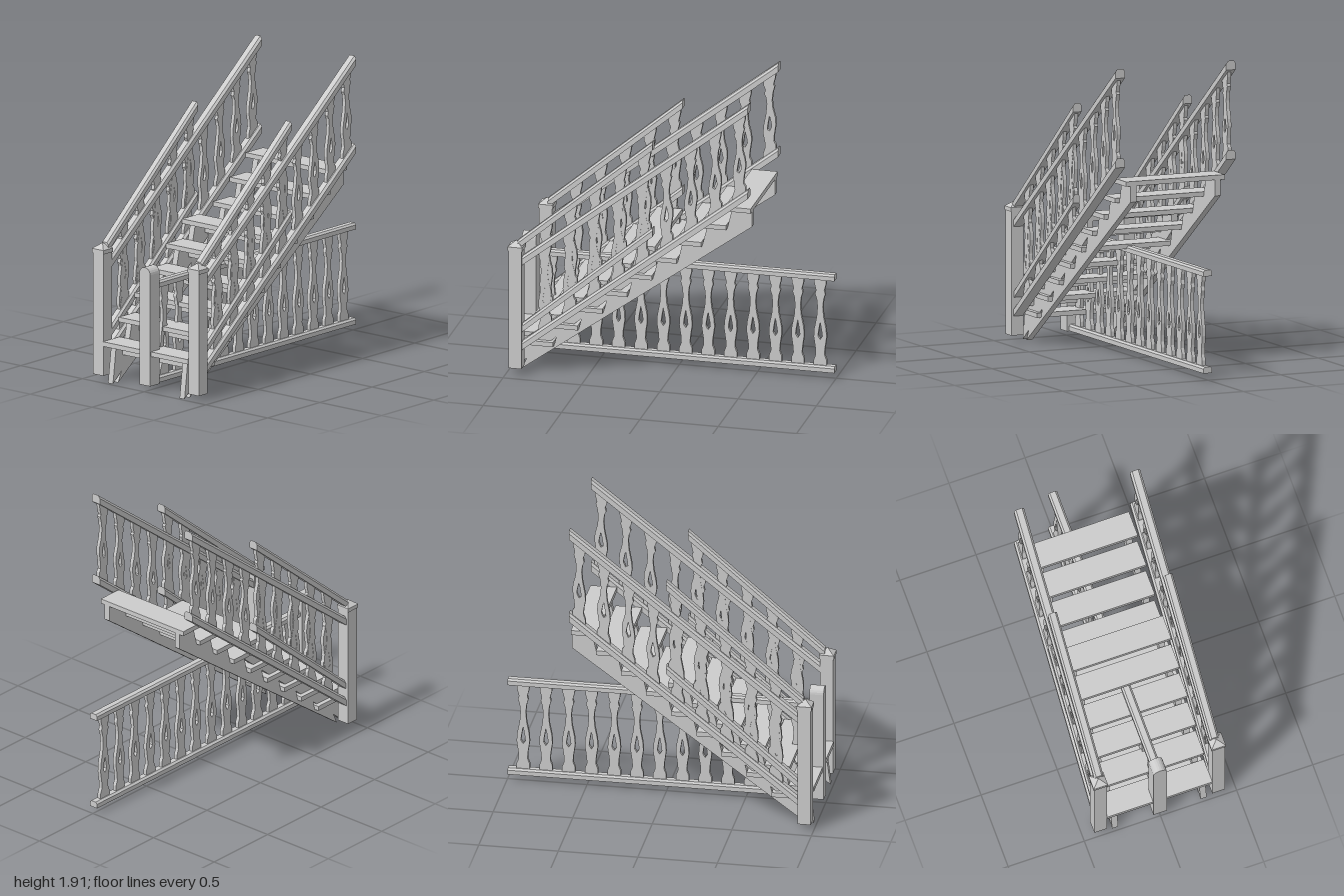
import * as THREE from 'three';

const material = new THREE.MeshStandardMaterial({ color: 0xcccccc, flatShading: true });

function add(parent, name, geometry) {
  const mesh = new THREE.Mesh(geometry, material);
  mesh.name = name;
  parent.add(mesh);
  return mesh;
}

// Slide vertices up in proportion to x, keeping vertical ends vertical
function shear(geometry, slope, x0) {
  const p = geometry.attributes.position;
  for (let i = 0; i < p.count; i++) p.setY(i, p.getY(i) + slope * (p.getX(i) - x0));
  geometry.computeVertexNormals();
  return geometry;
}

// Rail with bevelled top, running x0..x1; top is the height of its upper edge at x1
function rail(parent, name, x0, x1, top, slope, z, width, height) {
  const w = width / 2;
  const section = new THREE.Shape([
    [-w, -height], [w, -height], [w, -height * 0.3], [w * 0.6, 0], [-w * 0.6, 0], [-w, -height * 0.3],
  ].map(([a, b]) => new THREE.Vector2(a, b)));
  const g = new THREE.ExtrudeGeometry(section, { depth: x1 - x0, bevelEnabled: false });
  g.rotateY(Math.PI / 2).translate(x0, top, z);
  add(parent, name, shear(g, slope, x1));
}

// Cut-out board: [height fraction, half width]
const OUTLINE = [
  [0, 0.041], [0.07, 0.041], [0.13, 0.028], [0.2, 0.03], [0.33, 0.041], [0.42, 0.038],
  [0.56, 0.022], [0.67, 0.017], [0.76, 0.022], [0.82, 0.033], [0.86, 0.026], [0.93, 0.037], [1, 0.04],
];

function baluster(parent, x, y, z, height, slope) {
  const right = OUTLINE.map(([t, w]) => new THREE.Vector2(w, t * height));
  const left = OUTLINE.map(([t, w]) => new THREE.Vector2(-w, t * height)).reverse();
  const shape = new THREE.Shape([...right, ...left]);
  const hole = [[0, 0.3], [-0.014, 0.34], [-0.011, 0.39], [0, 0.5], [0.011, 0.39], [0.014, 0.34]];
  shape.holes.push(new THREE.Path(hole.map(([a, t]) => new THREE.Vector2(a, t * height))));
  const g = new THREE.ExtrudeGeometry(shape, { depth: 0.024, bevelEnabled: false });
  g.translate(x, y, z - 0.012);
  add(parent, 'baluster', shear(g, slope, x));
}

// Balustrade: two parallel rails with evenly spaced balusters
function balustrade(name, o) {
  const group = new THREE.Group();
  group.name = name;
  rail(group, 'handrail', o.x0, o.x1, o.top, o.slope, o.z, o.width, o.height);
  rail(group, 'bottomRail', o.x0, o.x1, o.bottom, o.slope, o.z, o.width, o.height);
  for (let i = 0; i < o.count; i++) {
    const x = o.first - i * o.step;
    const y = o.bottom + o.slope * (x - o.x1) - 0.008;
    baluster(group, x, y, o.z, o.top - o.height - o.bottom + 0.016, o.slope);
  }
  return group;
}

// Flight of open treads carried by two sawtooth stringers
function flight(name, { x0, y0, run, rise, count, halfWidth, foot, headDrop }) {
  const group = new THREE.Group();
  group.name = name;
  const end = x0 + run * count;
  const thick = 0.03;
  const pts = [[foot[0], foot[1]], [end, y0 + rise * (count - 1) - headDrop]];
  for (let i = count - 1; i >= 0; i--) {
    const y = y0 + rise * i - thick;
    pts.push([x0 + run * (i + 1), y], [x0 + run * i + 0.03, y]);
  }
  const shape = new THREE.Shape(pts.map(([a, b]) => new THREE.Vector2(a, b)));
  for (const z of [-0.29, 0.29]) {
    const g = new THREE.ExtrudeGeometry(shape, { depth: 0.04, bevelEnabled: false });
    add(group, 'stringer', g.translate(0, 0, z - 0.02));
  }
  for (let i = 0; i < count; i++) {
    const tread = add(group, 'tread', new THREE.BoxGeometry(run + 0.008, thick, halfWidth * 2));
    tread.position.set(x0 + run * (i + 0.5) - 0.004, y0 + rise * i - thick / 2, 0);
  }
  return group;
}

export function createModel() {
  const model = new THREE.Group();
  model.name = 'staircase';

  // Long flight and the shorter, steeper flight laid over its lower half
  model.add(flight('longFlight', {
    x0: -0.88, y0: 0.2, run: 0.1578, rise: 0.125, count: 9, halfWidth: 0.34, foot: [-0.93, 0], headDrop: 0.13,
  }));
  model.add(flight('shortFlight', {
    x0: -0.98, y0: 0.26, run: 0.1517, rise: 0.127, count: 6, halfWidth: 0.345, foot: [-0.98, 0.0], headDrop: 0.13,
  }));

  // Sloping balustrades on both sides
  for (const s of [-1, 1]) {
    model.add(balustrade('longBalustrade', {
      x0: -0.92, x1: 0.54, top: 1.91, bottom: 1.35, slope: 0.785, z: s * 0.381,
      width: 0.066, height: 0.058, first: 0.48, step: 0.155, count: 9,
    }));
    model.add(balustrade('shortBalustrade', {
      x0: -0.93, x1: -0.07, top: 1.61, bottom: 1.04, slope: 0.85, z: s * 0.379,
      width: 0.06, height: 0.055, first: -0.125, step: 0.157, count: 5,
    }));

    // Square newel post with a flared, pointed cap
    const post = new THREE.Group();
    post.name = 'newelPost';
    add(post, 'shaft', new THREE.BoxGeometry(0.082, 0.78, 0.082)).position.y = 0.43;
    add(post, 'cap', new THREE.BoxGeometry(0.094, 0.025, 0.094)).position.y = 0.83;
    const tip = add(post, 'capPoint', new THREE.ConeGeometry(0.066, 0.035, 4));
    tip.rotation.y = Math.PI / 4;
    tip.position.y = 0.86;
    post.position.set(-0.942, 0, s * 0.387);
    model.add(post);
  }

  // Level balustrade along the middle
  model.add(balustrade('levelBalustrade', {
    x0: -0.93, x1: 0.995, top: 0.69, bottom: 0.083, slope: 0, z: 0,
    width: 0.06, height: 0.04, first: 0.9, step: 0.143, count: 13,
  }));

  // Middle post with an arched top
  const arch = new THREE.Shape();
  arch.moveTo(-0.044, 0.04);
  arch.lineTo(0.044, 0.04);
  arch.lineTo(0.044, 0.75);
  arch.absarc(0, 0.75, 0.044, 0, Math.PI, false);
  arch.closePath();
  const g = new THREE.ExtrudeGeometry(arch, { depth: 0.09, bevelEnabled: false, curveSegments: 5 });
  add(model, 'middlePost', g.rotateY(Math.PI / 2).translate(-0.995, 0, 0));

  return model;
}
